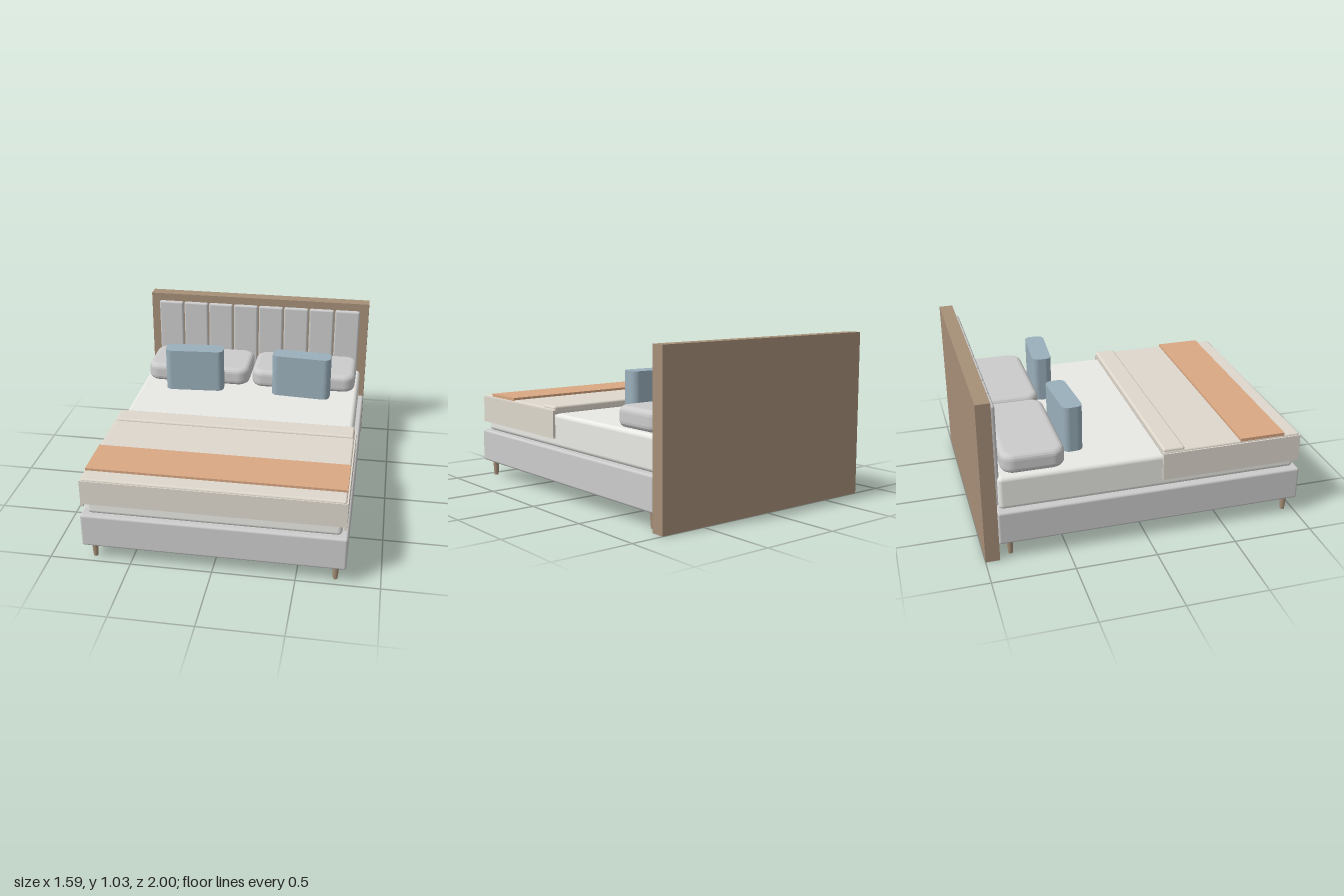
import * as THREE from 'three';
import { RoundedBoxGeometry } from 'three/addons/geometries/RoundedBoxGeometry.js';

const material = (color) => new THREE.MeshStandardMaterial({ color });

// Box given by its min and max corners; r > 0 rounds the edges
function block(name, mat, [x0, y0, z0], [x1, y1, z1], r = 0) {
  const size = [x1 - x0, y1 - y0, z1 - z0];
  const geo = r ? new RoundedBoxGeometry(...size, 4, r) : new THREE.BoxGeometry(...size);
  const mesh = new THREE.Mesh(geo, mat);
  mesh.name = name;
  mesh.position.set((x0 + x1) / 2, (y0 + y1) / 2, (z0 + z1) / 2);
  return mesh;
}

// Rounded rectangle in plan, extruded upwards from y = 0, optionally bevelled
function slab(width, depth, height, radius, bevel = 0) {
  const w = width / 2 - bevel, d = depth / 2 - bevel, r = radius;
  const s = new THREE.Shape();
  s.absarc(w - r, d - r, r, 0, Math.PI / 2);
  s.absarc(-w + r, d - r, r, Math.PI / 2, Math.PI);
  s.absarc(-w + r, -d + r, r, Math.PI, Math.PI * 1.5);
  s.absarc(w - r, -d + r, r, Math.PI * 1.5, Math.PI * 2);
  const geo = new THREE.ExtrudeGeometry(s, {
    depth: height - 2 * bevel, bevelEnabled: bevel > 0,
    bevelSize: bevel, bevelThickness: bevel, bevelSegments: 4, curveSegments: 8,
  });
  return geo.rotateX(-Math.PI / 2).translate(0, bevel, 0);
}

export function createModel() {
  const bed = new THREE.Group();
  bed.name = 'bed';
  const fabric = material(0xcccccc);
  const wood = material(0xa68f78);
  const linen = material(0xe8e8e4);
  const cover = material(0xded7cc);
  const blue = material(0x9aafbb);
  const orange = material(0xd9a883);

  // Headboard with eight upholstered channels
  bed.add(block('headboard', wood, [-0.795, 0, -1], [0.795, 1.035, -0.913]));
  const pitch = 1.475 / 8;
  for (let i = 0; i < 8; i++) {
    const x = -0.7375 + i * pitch;
    bed.add(block('headboardPanel', fabric, [x + 0.004, 0.34, -0.914], [x + pitch - 0.004, 0.985, -0.882], 0.014));
  }

  // Base and mattress
  bed.add(block('base', fabric, [-0.795, 0.105, -0.913], [0.795, 0.32, 1], 0.015));
  bed.add(block('mattress', linen, [-0.76, 0.318, -0.895], [0.76, 0.533, 0.972], 0.028));

  // Tapered legs
  const legGeo = new THREE.CylinderGeometry(0.022, 0.014, 0.107, 16);
  for (const x of [-0.732, 0.732]) {
    for (const z of [-0.84, 0.937]) {
      const leg = new THREE.Mesh(legGeo, wood);
      leg.name = 'leg';
      leg.position.set(x, 0.0535, z);
      bed.add(leg);
    }
  }

  // Duvet: top, hanging flaps, folded edge and throw
  bed.add(block('duvetTop', cover, [-0.776, 0.528, 0.1], [0.776, 0.565, 0.985], 0.012));
  bed.add(block('duvetFrontFlap', cover, [-0.775, 0.397, 0.972], [0.775, 0.552, 0.992]));
  for (const s of [-1, 1]) {
    bed.add(block('duvetSideFlap', cover, [s * 0.777 - 0.008, 0.378, 0.1], [s * 0.777 + 0.008, 0.552, 0.99]));
  }
  bed.add(block('duvetFold', cover, [-0.772, 0.545, 0.1], [0.772, 0.58, 0.237], 0.014));
  bed.add(block('throw', orange, [-0.775, 0.56, 0.595], [0.775, 0.58, 0.885]));

  // Pillows and cushions, mirrored
  const pillowGeo = slab(0.725, 0.385, 0.125, 0.045, 0.036);
  const cushionGeo = slab(0.4, 0.125, 0.292, 0.042);
  for (const s of [-1, 1]) {
    const pillow = new THREE.Mesh(pillowGeo, fabric);
    pillow.name = 'pillow';
    pillow.position.set(s * 0.373, 0.53, -0.672);
    const cushion = new THREE.Mesh(cushionGeo, blue);
    cushion.name = 'cushion';
    cushion.position.set(s * 0.373, 0.54, -0.41);
    cushion.rotation.y = -s * 0.07;
    bed.add(pillow, cushion);
  }
  return bed;
}
